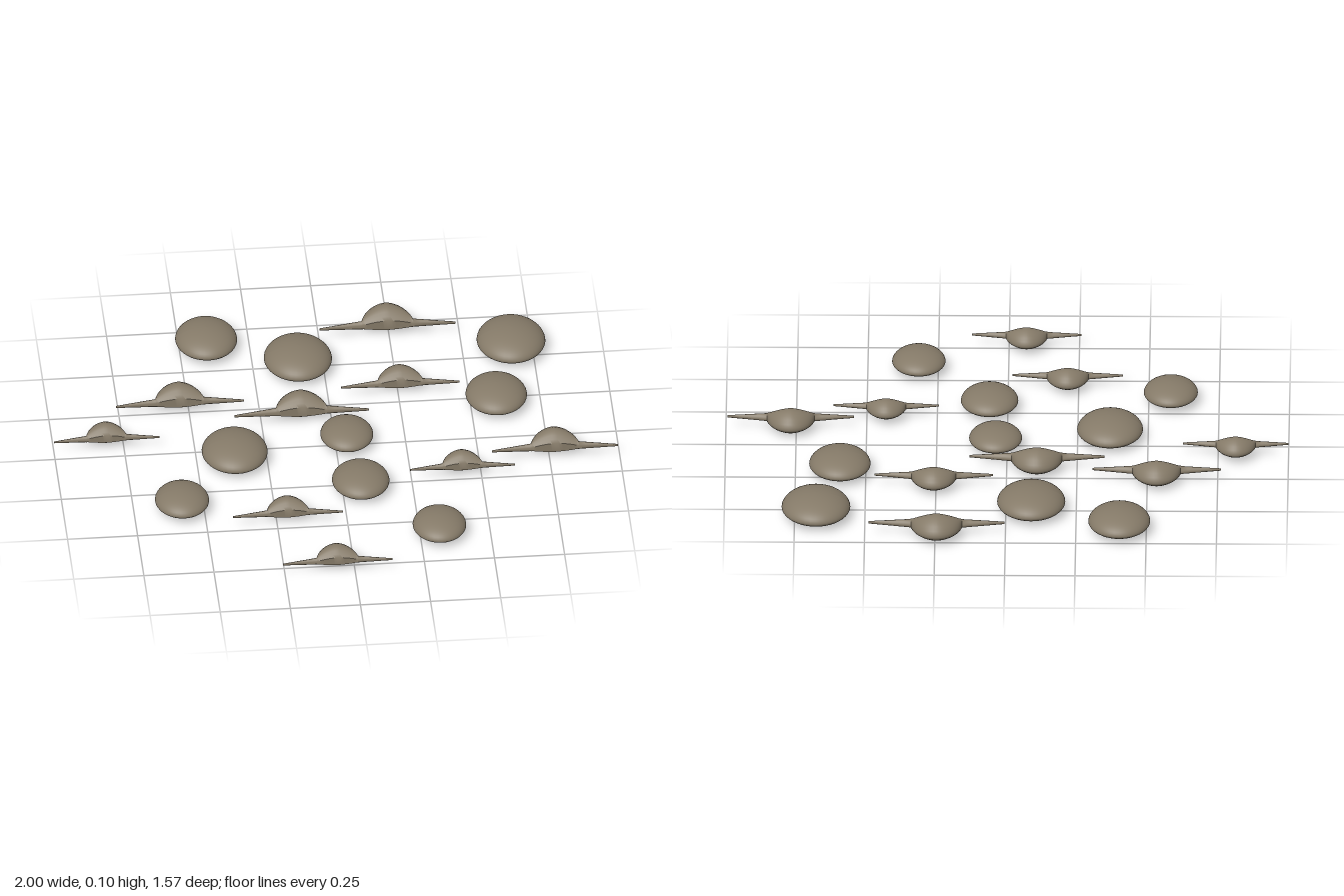
import * as THREE from 'three';
import { toCreasedNormals } from 'three/addons/utils/BufferGeometryUtils.js';

const MID = 0.04; // height of the seam between the two valves

// Oval shell: two unequal domes meeting in a seam, unit half-width
function ovalGeometry() {
  const g = new THREE.SphereGeometry(1, 40, 28);
  const p = g.attributes.position;
  for (let i = 0; i < p.count; i++) {
    const y = p.getY(i);
    const lens = Math.sign(y) * Math.pow(Math.abs(y), 1.1);
    p.setXYZ(i, p.getX(i), lens * (y > 0 ? 0.47 : 0.31), p.getZ(i) * 1.15);
  }
  g.computeVertexNormals();
  return g;
}

// Winged shell: cross-sections along x, straight hinge at z = 0, unit half-span
function wingedGeometry() {
  const R = 0.385; // half-width of the dome
  const xs = [];
  for (let i = 0; i <= 6; i++) xs.push(-1 + (i / 6) * (1 - R));
  for (let i = 1; i <= 28; i++) xs.push(-R * Math.cos((i / 28) * Math.PI));
  for (let i = 1; i <= 6; i++) xs.push(R + (i / 6) * (1 - R));
  xs.unshift(-1);
  xs.push(1);

  // half-section from the blunt hinge to the sharp rear edge: [depth, height]
  const half = [[0, 0.42], [0.08, 0.62], [0.18, 0.82], [0.3, 0.96], [0.42, 1], [0.56, 0.94],
    [0.7, 0.8], [0.83, 0.6], [0.93, 0.37], [0.98, 0.18], [1, 0]];
  const section = [...half, ...half.slice(0, -1).reverse().map(([t, h]) => [t, -0.6 * h])];
  const n = section.length;
  const pos = [], index = [];
  xs.forEach((x, i) => {
    const end = i === 0 || i === xs.length - 1; // closes the wing tip
    const a = Math.abs(x);
    const dome = Math.max(0, 1 - (x / R) ** 2);
    const depth = end ? 0 : Math.max(0.49 * Math.sqrt(dome), 0.012 + 0.16 * (1 - a));
    const height = end ? 0 : 0.025 + 0.09 * (1 - a) + 0.125 * dome;
    for (const [t, h] of section) pos.push(x, h * height, -t * depth);
    if (i === 0) return;
    for (let j = 0; j < n; j++) {
      const k = (j + 1) % n, a0 = (i - 1) * n, b0 = i * n;
      index.push(a0 + j, b0 + j, a0 + k, b0 + j, b0 + k, a0 + k);
    }
  });
  const g = new THREE.BufferGeometry();
  g.setAttribute('position', new THREE.Float32BufferAttribute(pos, 3));
  g.setIndex(index);
  return toCreasedNormals(g, 0.7);
}

export function createModel() {
  const group = new THREE.Group();
  group.name = 'shellBed';
  const material = new THREE.MeshStandardMaterial({ color: 0x857a68 });

  const scatter = (name, geometry, places) => {
    places.forEach(([x, z, size], i) => {
      const mesh = new THREE.Mesh(geometry, material);
      mesh.name = name + (i + 1);
      mesh.position.set(x, MID, z);
      mesh.scale.setScalar(size);
      group.add(mesh);
    });
  };

  // x, z of the centre, half-width
  scatter('ovalShell', ovalGeometry(), [
    [-0.404, -0.647, 0.11], [-0.09, -0.5, 0.121], [0.674, -0.547, 0.122],
    [0.592, -0.214, 0.109], [-0.365, 0.059, 0.117], [0.041, -0.013, 0.094],
    [0.065, 0.277, 0.102], [-0.578, 0.345, 0.096], [0.319, 0.578, 0.095],
  ]);

  // x, z of the hinge middle, half-span
  scatter('wingedShell', wingedGeometry(), [
    [0.245, -0.668, 0.242], [0.258, -0.3, 0.211], [-0.533, -0.25, 0.228],
    [-0.107, -0.155, 0.24], [-0.812, -0.05, 0.188], [0.77, 0.144, 0.225],
    [0.432, 0.233, 0.187], [-0.211, 0.471, 0.196], [-0.062, 0.782, 0.195],
  ]);
  return group;
}
